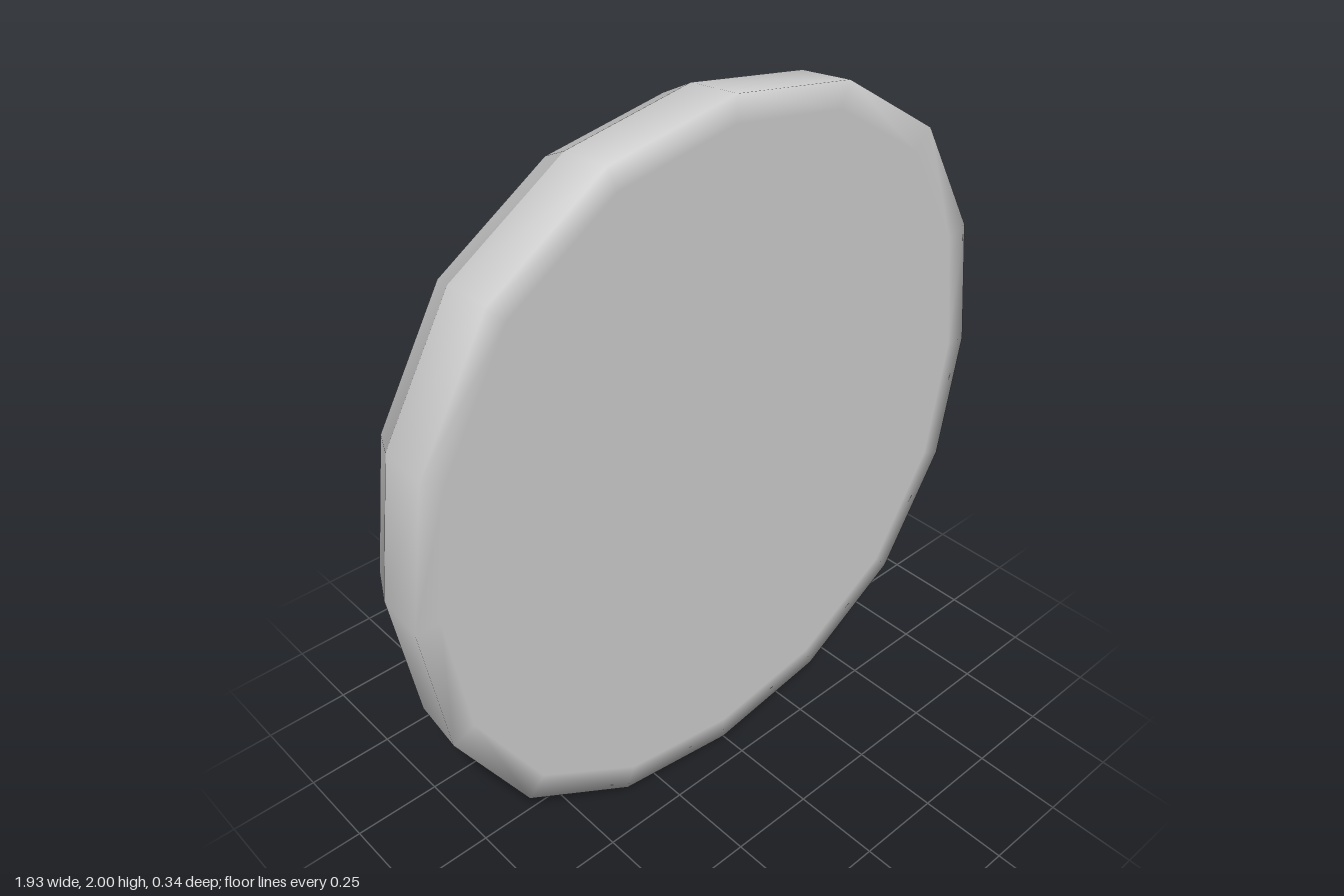
import * as THREE from 'three';
import { mergeVertices, toCreasedNormals } from 'three/addons/utils/BufferGeometryUtils.js';

const material = new THREE.MeshStandardMaterial({ color: 0xcccccc });

// Sixteen-sided ring from a [radius, z] profile, slightly squared and narrowed in x
function turned(profile) {
  const geo = new THREE.LatheGeometry(profile.map(([r, z]) => new THREE.Vector2(r, z)), 16);
  geo.rotateX(Math.PI / 2);
  const p = geo.attributes.position;
  for (let i = 0; i < p.count; i++) {
    const x = p.getX(i), y = p.getY(i);
    const k = 1 + 0.0325 * Math.sin(2 * Math.atan2(y, x)) ** 2;
    p.setXY(i, x * k * 0.965, y * k);
  }
  geo.deleteAttribute('uv');
  geo.deleteAttribute('normal');
  return mergeVertices(geo, 1e-4);
}

export function createModel() {
  const clock = new THREE.Group();
  clock.name = 'wallClock';

  const add = (name, geo, parent = clock) => {
    const mesh = new THREE.Mesh(geo, material);
    mesh.name = name;
    parent.add(mesh);
    return mesh;
  };

  // Rounded back shell with a flat back
  const shell = turned([[0.985, 0.02], [1, 0.17], [0.93, 0.17], [0, 0.17]]);
  shell.computeVertexNormals();
  add('backShell', shell).position.y = 1;

  // Bevelled bezel, its inner wall and the recessed dial
  const bezel = turned([[0.73, -0.085], [0.73, -0.167], [0.935, -0.075], [0.985, 0.02]]);
  add('bezel', toCreasedNormals(bezel, 0.5)).position.y = 1;
  add('dial', toCreasedNormals(turned([[0, -0.085], [0.73, -0.085]]), 0.5)).position.y = 1;

  // Hands turn about a hub set a little off centre
  const hands = new THREE.Group();
  hands.name = 'hands';
  hands.position.set(-0.03, 0.955, -0.085);
  clock.add(hands);

  const hub = new THREE.SphereGeometry(0.087, 6, 4);
  hub.rotateX(Math.PI / 2);
  add('hub', hub, hands);

  const hand = (name, length, angle) => {
    const geo = new THREE.BoxGeometry(0.052, length, 0.07);
    geo.translate(0, length / 2, -0.015);
    add(name, geo, hands).rotation.z = angle;
  };
  hand('minuteHand', 0.6, 0);
  hand('hourHand', 0.46, Math.atan2(0.36, -0.285));

  return clock;
}
